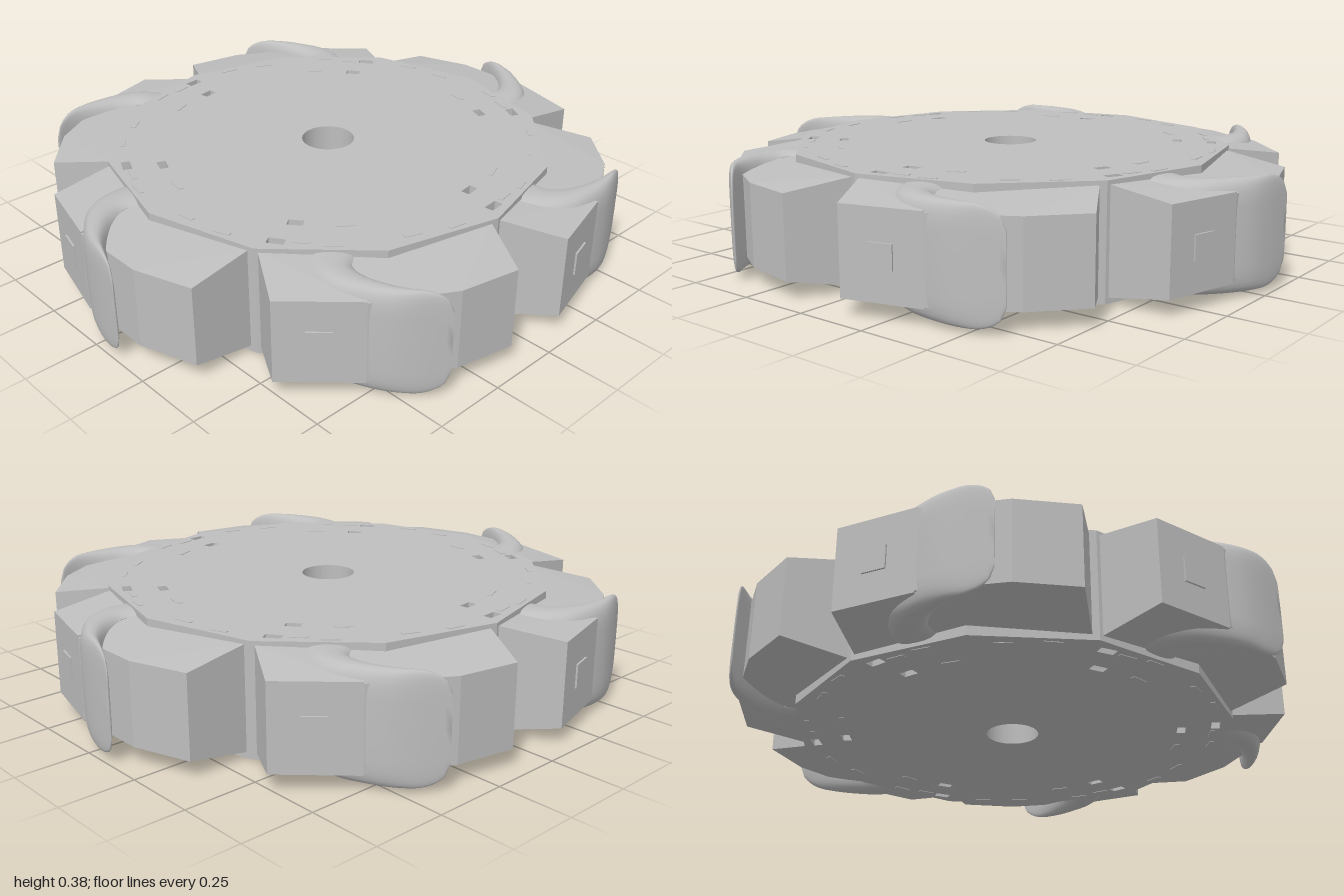
import * as THREE from 'three';
import { ConvexGeometry } from 'three/addons/geometries/ConvexGeometry.js';

const grey = new THREE.MeshStandardMaterial({ color: 0xbebebe });
grey.name = 'cast grey';

function part(name, geometry) {
  const mesh = new THREE.Mesh(geometry, grey);
  mesh.name = name;
  return mesh;
}

// Twelve-sided hub with a round bore and two rings of small slots
function hubGeometry() {
  const bevel = 0.008;
  const shape = new THREE.Shape();
  for (let i = 0; i < 12; i++) {
    const a = (i * Math.PI) / 6;
    const r = 0.765 - bevel;
    if (i) shape.lineTo(r * Math.cos(a), r * Math.sin(a));
    else shape.moveTo(r, 0);
  }
  shape.closePath();
  shape.holes.push(new THREE.Path().absarc(0, 0, 0.09, 0, Math.PI * 2, true));

  const slot = (r, angle, length, width) => {
    const c = Math.cos(angle), s = Math.sin(angle);
    const corners = [[-1, -1], [-1, 1], [1, 1], [1, -1]].map(([u, v]) => {
      const x = r + (u * width) / 2, y = (v * length) / 2;
      return new THREE.Vector2(x * c - y * s, x * s + y * c);
    });
    shape.holes.push(new THREE.Path(corners));
  };
  for (let k = 0; k < 6; k++) {
    const turn = (k * Math.PI) / 3;
    slot(0.7, THREE.MathUtils.degToRad(94) + turn, 0.055, 0.03);
    slot(0.585, THREE.MathUtils.degToRad(97) + turn, 0.05, 0.03);
  }
  return new THREE.ExtrudeGeometry(shape, {
    depth: 0.381 - bevel * 2, bevelEnabled: true, bevelSegments: 1,
    bevelSize: 0, bevelThickness: bevel, curveSegments: 32, bevelOffset: 0,
  }).scale(1.01, 1.01, 1).rotateX(-Math.PI / 2).translate(0, 0.002 + bevel, 0);
}

// Faceted block: outline corners [r, t, low y, high y]
function block(corners) {
  return new ConvexGeometry(corners.flatMap(([r, t, lo, hi]) => [
    new THREE.Vector3(r, lo, t), new THREE.Vector3(r, hi, t),
  ]));
}

// Curved blade: rounded sections swept between an outer and an inner edge
function bladeGeometry() {
  const curve = (pts) => new THREE.CatmullRomCurve3(pts.map(([x, z]) => new THREE.Vector3(x, 0, z)));
  const outer = curve([[0.71, 0.27], [0.8, 0.245], [0.87, 0.205], [0.93, 0.13], [0.972, 0.05], [0.99, -0.03], [0.998, -0.13]]);
  const inner = curve([[0.71, 0.04], [0.78, 0.09], [0.84, 0.07], [0.89, 0.03], [0.93, -0.015], [0.965, -0.07], [0.991, -0.13]]);
  const rows = 30, sides = 32, pos = [], index = [];
  const soft = (v, e) => Math.sign(v) * Math.pow(Math.abs(v), e);
  for (let i = 0; i <= rows; i++) {
    const t = i / rows;
    const a = outer.getPoint(t), b = inner.getPoint(t);
    const u = Math.max(0, (t - 0.78) / 0.22);
    const h = 0.181 - 0.07 * (1 - Math.sqrt(Math.max(0, 1 - u * u)));
    for (let j = 0; j < sides; j++) {
      const phi = (j / sides) * Math.PI * 2;
      const w = 0.5 + 0.5 * soft(Math.cos(phi), 0.8);
      const p = b.clone().lerp(a, w);
      pos.push(p.x, 0.195 + h * soft(Math.sin(phi), 0.4), p.z);
    }
  }
  for (let i = 0; i < rows; i++) {
    for (let j = 0; j < sides; j++) {
      const k = (j + 1) % sides;
      const a = i * sides + j, b = a + sides, c = i * sides + k, d = c + sides;
      index.push(a, b, c, b, d, c);
    }
  }
  // Tip cap
  const last = rows * sides;
  for (let j = 1; j < sides - 1; j++) index.push(last, last + j + 1, last + j);
  const g = new THREE.BufferGeometry();
  g.setAttribute('position', new THREE.Float32BufferAttribute(pos, 3));
  g.setIndex(index);
  g.computeVertexNormals();
  return g;
}

export function createModel() {
  const model = new THREE.Group();
  model.name = 'bladedRotor';
  model.add(part('hub', hubGeometry()));

  const padBlock = block([
    [0.66, 0.37, 0.02, 0.37], [0.66, 0.11, 0.02, 0.37],
    [0.945, 0.11, 0.055, 0.34], [0.877, 0.375, 0.055, 0.34],
  ]);
  const plainBlock = block([
    [0.66, 0.11, 0.02, 0.37], [0.66, -0.36, 0.02, 0.37],
    [0.88, -0.365, 0.06, 0.335], [0.945, -0.17, 0.06, 0.335], [0.945, 0.11, 0.06, 0.335],
  ]);
  const pad = new THREE.BoxGeometry(0.01, 0.08, 0.08);
  const blade = bladeGeometry();
  const rib = new THREE.BoxGeometry(0.016, 0.385, 0.06);

  // Six identical sectors around the hub
  for (let k = 0; k < 6; k++) {
    const sector = new THREE.Group();
    sector.name = 'sector' + (k + 1);
    sector.rotation.y = (k * Math.PI) / 3;
    const square = part('squarePad', pad);
    square.position.set(0.912, 0.197, 0.243);
    square.rotation.y = -0.251;
    sector.add(part('padBlock', padBlock), part('plainBlock', plainBlock), square, part('blade', blade));

    // Slight ribs flush with both hub faces
    for (const [r, deg] of [[0.715, -20], [0.7, -8], [0.715, 12], [0.7, 20], [0.6, 8]]) {
      const a = THREE.MathUtils.degToRad(deg);
      const mark = part('rimRib', rib);
      mark.position.set(r * Math.cos(a), 0.1925, r * Math.sin(a));
      mark.rotation.y = -a;
      sector.add(mark);
    }
    model.add(sector);
  }
  return model;
}
